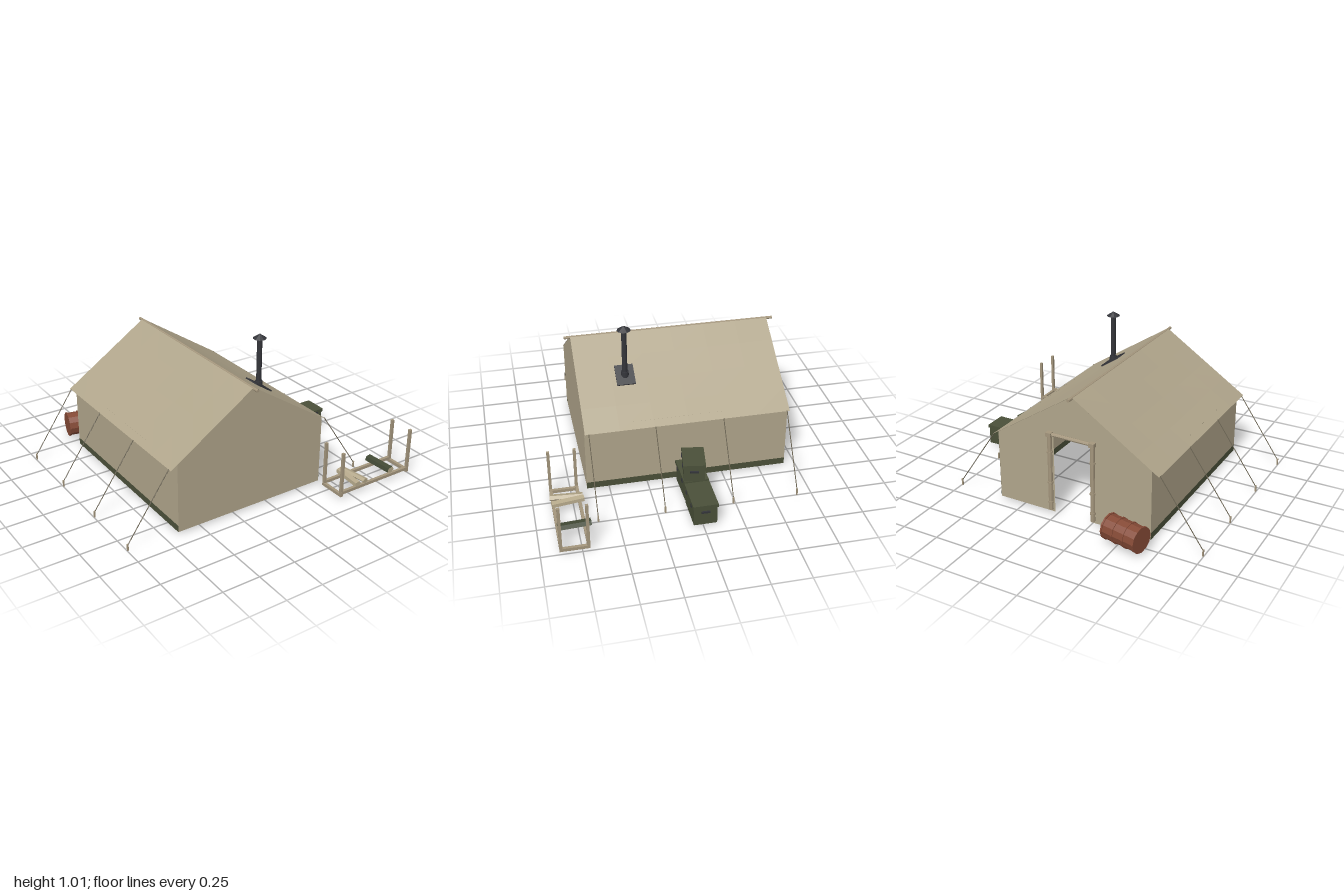
import * as THREE from 'three';

const mat = (name, color, double = false) => {
  const m = new THREE.MeshStandardMaterial({ color });
  m.name = name;
  m.flatShading = true;
  if (double) m.side = THREE.DoubleSide;
  return m;
};

export function createModel() {
  const root = new THREE.Group();
  root.name = 'campTent';
  const canvas = mat('canvas', 0xb0a58b, true);
  const sod = mat('sodCloth', 0x4b5039, true);
  const wood = mat('wood', 0xa4967d);
  const splitWood = mat('splitWood', 0xb5a88a);
  const green = mat('crateGreen', 0x4a5039);
  const bark = mat('mossyBark', 0x424a35);
  const iron = mat('darkIron', 0x34353a);
  const rust = mat('rust', 0x854a36);
  const rope = mat('rope', 0x6b6453);

  const add = (parent, name, geo, material, x = 0, y = 0, z = 0) => {
    const m = new THREE.Mesh(geo, material);
    m.name = name;
    m.position.set(x, y, z);
    parent.add(m);
    return m;
  };
  const group = (name, x = 0, y = 0, z = 0, ry = 0) => {
    const g = new THREE.Group();
    g.name = name;
    g.position.set(x, y, z);
    g.rotation.y = ry;
    root.add(g);
    return g;
  };
  const box = (w, h, d) => new THREE.BoxGeometry(w, h, d);
  // Round bar between two points
  const bar = (parent, name, a, b, r, material, sides = 8) => {
    const p = new THREE.Vector3(...a), q = new THREE.Vector3(...b);
    const d = q.clone().sub(p);
    const m = add(parent, name, new THREE.CylinderGeometry(r, r, d.length(), sides), material);
    m.position.copy(p).add(q).multiplyScalar(0.5);
    m.quaternion.setFromUnitVectors(new THREE.Vector3(0, 1, 0), d.normalize());
    return m;
  };

  // Tent dimensions
  const cx = -0.12, ridgeY = 0.84, eaveY = 0.455, halfRoof = 0.585, halfWall = 0.54;
  const zF = 0.645, zB = -0.672, floorY = 0.015, wallTop = 0.483;
  const midZ = (zF + zB) / 2, len = zF - zB;
  const tent = group('tent');

  for (const s of [-1, 1]) {
    // Roof slope, sagging a little between ridge and eave
    const roof = new THREE.PlaneGeometry(1, 1, 6, 4);
    const p = roof.attributes.position;
    for (let i = 0; i < p.count; i++) {
      const u = p.getX(i) + 0.5, v = p.getY(i) + 0.5;
      const sag = 0.01 * Math.sin(Math.PI * u) * Math.sin(Math.PI * v);
      p.setXYZ(i, cx + s * halfRoof * v, ridgeY + (eaveY - ridgeY) * v - sag, zB + len * u);
    }
    roof.computeVertexNormals();
    // Keep the outward side in front
    if (s > 0) {
      const ix = roof.index;
      for (let i = 0; i < ix.count; i += 3) {
        const a = ix.getX(i);
        ix.setX(i, ix.getX(i + 1));
        ix.setX(i + 1, a);
      }
      roof.computeVertexNormals();
    }
    add(tent, 'roofSlope', roof, canvas);

    // Side wall above a dark sod strip
    const wx = cx + s * halfWall;
    const wall = add(tent, 'sideWall', new THREE.PlaneGeometry(len, wallTop - 0.06), canvas, wx, (wallTop + 0.06) / 2, midZ);
    const strip = add(tent, 'sodStrip', new THREE.PlaneGeometry(len, 0.045), sod, wx, floorY + 0.0225, midZ);
    wall.rotation.y = strip.rotation.y = s * Math.PI / 2;
  }

  // Gable ends, the back one with a doorway
  const gable = (door) => {
    const s = new THREE.Shape();
    s.moveTo(cx - halfWall, floorY);
    if (door) {
      s.lineTo(-0.262, floorY);
      s.lineTo(-0.262, 0.565);
      s.lineTo(0.012, 0.565);
      s.lineTo(0.012, floorY);
    }
    s.lineTo(cx + halfWall, floorY);
    s.lineTo(cx + halfWall, wallTop);
    s.lineTo(cx, ridgeY - 0.002);
    s.lineTo(cx - halfWall, wallTop);
    return new THREE.ShapeGeometry(s);
  };
  add(tent, 'frontGable', gable(false), canvas, 0, 0, zF - 0.002);
  add(tent, 'backGable', gable(true), canvas, 0, 0, zB + 0.002);
  bar(tent, 'ridgePole', [cx, ridgeY - 0.01, -0.712], [cx, ridgeY - 0.01, 0.685], 0.01, wood);

  // Door frame with posts, lintel and ties
  const door = group('doorFrame');
  for (const x of [-0.275, 0.025]) {
    bar(door, 'doorPost', [x, 0.045, -0.696], [x, 0.585, -0.696], 0.015, wood);
    for (const y of [0.1, 0.24, 0.45]) {
      add(door, 'postTie', new THREE.CylinderGeometry(0.019, 0.019, 0.012, 8), wood, x, y, -0.696);
    }
    add(door, 'cornerBlock', box(0.036, 0.026, 0.034), wood, x, 0.572, -0.698);
  }
  bar(door, 'lintel', [-0.29, 0.572, -0.696], [0.04, 0.572, -0.696], 0.012, wood);

  // Guy ropes and stakes
  const guys = group('guyLines');
  for (const z of [-0.655, -0.237, 0.2, 0.62]) {
    for (const [ex, sx] of [[-0.703, -0.995], [0.463, 0.746]]) {
      bar(guys, 'guyRope', [ex, 0.457, z], [sx, 0.036, z], 0.003, rope, 5);
      add(guys, 'stake', box(0.009, 0.045, 0.009), wood, sx, 0.0225, z);
    }
  }

  // Stove pipe through the right-hand roof slope
  const pipe = group('stovePipe', 0.145, 0, 0.335);
  const plate = add(pipe, 'flashing', box(0.142, 0.012, 0.12), iron, 0, 0.663, 0);
  plate.rotation.z = -Math.atan((ridgeY - eaveY) / halfRoof);
  add(pipe, 'pipe', new THREE.CylinderGeometry(0.017, 0.017, 0.335, 12), iron, 0, 0.802, 0);
  add(pipe, 'collar', new THREE.CylinderGeometry(0.024, 0.026, 0.04, 12), iron, 0, 0.672, 0);
  add(pipe, 'cap', new THREE.ConeGeometry(0.045, 0.03, 10), iron, 0, 1.0, 0);
  for (let i = 0; i < 3; i++) {
    const a = i * Math.PI * 2 / 3;
    add(pipe, 'capStrut', box(0.004, 0.025, 0.004), iron, 0.015 * Math.cos(a), 0.978, 0.015 * Math.sin(a));
  }

  // Storage crates with lids, latches and end handles
  const crate = (x, y, z, w, h, d, ry) => {
    const g = group('crate', x, y, z, ry);
    add(g, 'crateBody', box(w - 0.012, h - 0.022, d - 0.012), green, 0, (h - 0.022) / 2, 0);
    add(g, 'crateLid', box(w, 0.022, d), green, 0, h - 0.011, 0);
    for (const s of [-1, 1]) {
      add(g, 'latch', box(0.018, 0.024, 0.008), iron, s * w * 0.27, h - 0.025, d / 2);
      add(g, 'handle', box(0.01, 0.012, 0.055), iron, s * (w / 2), h - 0.048, 0);
    }
  };
  crate(0.551, floorY, -0.012, 0.242, 0.142, 0.158, 0.02);
  crate(0.808, floorY, -0.012, 0.242, 0.142, 0.158, 0);
  crate(0.58, 0.157, -0.015, 0.202, 0.12, 0.142, -0.16);

  // Barrel lying on its side
  const drum = group('barrel', -0.553, 0.105, -0.8, -0.2);
  const lying = (name, geo, m, x, y = 0, z = 0) => {
    add(drum, name, geo, m, x, y, z).rotation.z = -Math.PI / 2;
  };
  const ring = (r, l) => new THREE.CylinderGeometry(r, r, l, 12);
  lying('barrelBody', ring(0.08, 0.242), rust, 0);
  for (const x of [-0.119, -0.04, 0.04, 0.119]) lying('barrelHoop', ring(0.085, 0.012), rust, x);
  lying('largeBung', new THREE.CylinderGeometry(0.012, 0.012, 0.008, 8), iron, 0.126, -0.045, 0.022);
  lying('smallBung', new THREE.CylinderGeometry(0.008, 0.008, 0.008, 8), iron, 0.126, 0.045, 0.022);

  // Firewood rack
  const rack = group('firewoodRack');
  for (const z of [0.712, 0.877]) {
    add(rack, 'rackRail', box(0.58, 0.02, 0.02), wood, 0.7, 0.042, z);
    for (const x of [0.416, 0.986]) add(rack, 'rackPost', box(0.018, 0.315, 0.018), wood, x, 0.1725, z);
  }
  for (const x of [0.416, 0.986]) add(rack, 'rackCrossbar', box(0.02, 0.02, 0.18), wood, x, 0.026, 0.795);

  // Split logs: one wedge lies bark up, the others show split faces
  const log = (x, z, ry, rz, r, top) => {
    const g = new THREE.CylinderGeometry(r, r, 0.205, 5, 1);
    g.rotateX(Math.PI / 2);
    g.scale(1, 0.75, 1);
    const m = add(rack, 'splitLog', g, [top, splitWood, splitWood], x, 0.073, z);
    m.rotation.set(0, ry, rz);
  };
  log(0.55, 0.792, -0.08, 0.3, 0.026, splitWood);
  log(0.598, 0.787, 0.14, -0.3, 0.024, splitWood);
  log(0.833, 0.777, 0.06, 0.15, 0.03, bark);

  return root;
}
